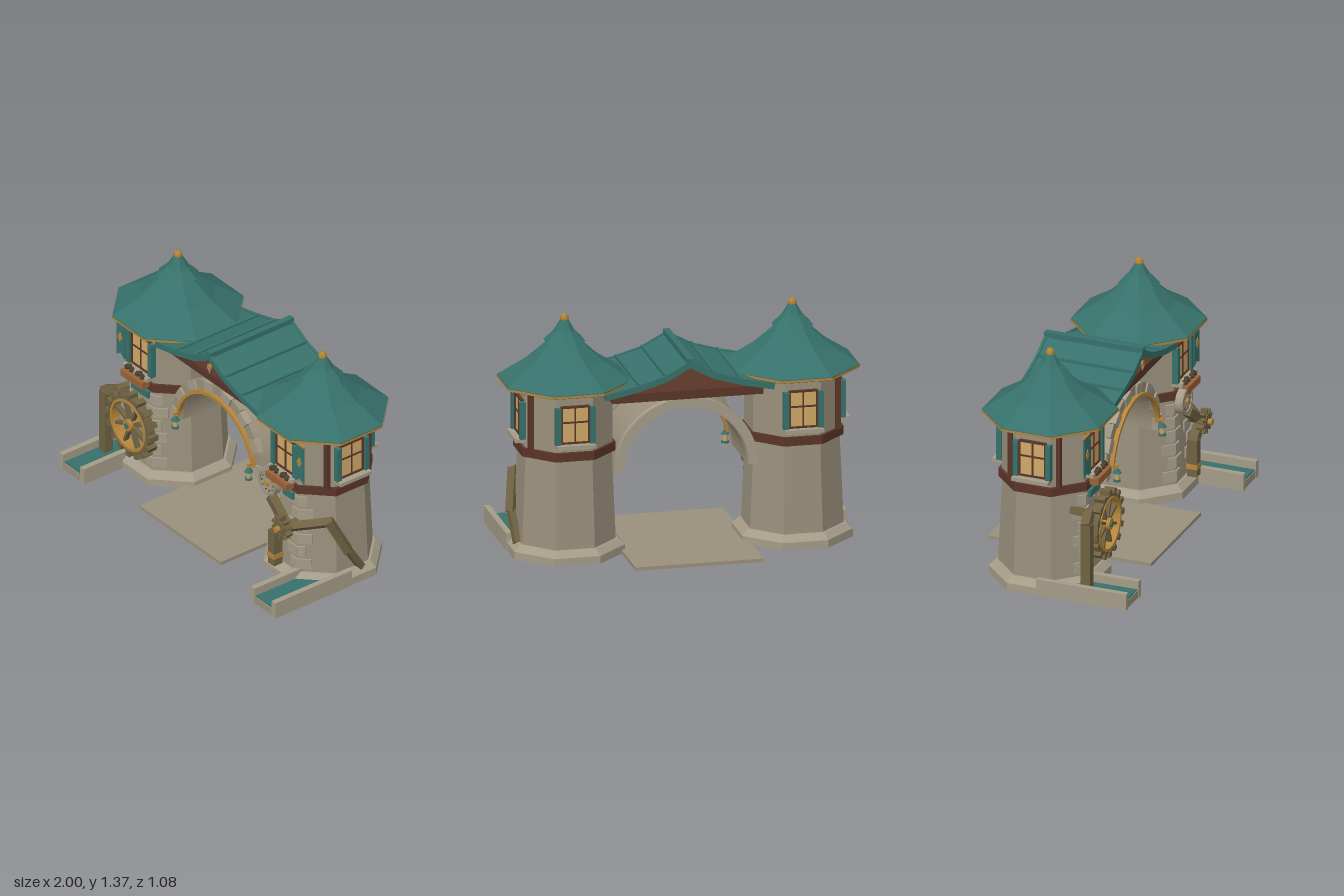
import * as THREE from 'three';

const mat = (name, color) => { const m = new THREE.MeshStandardMaterial({ color }); m.name = name; return m; };
const M = {
  stone: mat('stone', 0x9a907c), trim: mat('pale stone', 0xa59c88), teal: mat('teal', 0x37716b),
  brown: mat('dark timber', 0x5a3528), wood: mat('olive wood', 0x6f6242), gold: mat('gold', 0xb5853a),
  pane: mat('window glow', 0xcfa968), box: mat('planter', 0x9a6238), plant: mat('dark plant', 0x4a4030),
};
const C8 = Math.cos(Math.PI / 8), TZ = -0.05;

function add(parent, name, geo, material, x = 0, y = 0, z = 0) {
  const m = new THREE.Mesh(geo, material);
  m.name = name; m.position.set(x, y, z);
  parent.add(m);
  return m;
}
function group(parent, name, x = 0, y = 0, z = 0) {
  const g = new THREE.Group();
  g.name = name; g.position.set(x, y, z);
  parent.add(g);
  return g;
}
const flat = (g) => { const n = g.toNonIndexed(); n.computeVertexNormals(); return n; };
const box = (p, name, m, w, h, d, x, y, z) => add(p, name, new THREE.BoxGeometry(w, h, d), m, x, y, z);

// Octagonal ring stage between two heights; sizes are to the flat sides
function octagon(p, name, m, a0, a1, y0, y1, open = false) {
  const g = new THREE.CylinderGeometry(a1 / C8, a0 / C8, y1 - y0, 8, 1, open).rotateY(Math.PI / 8);
  return add(p, name, flat(g), m, 0, (y0 + y1) / 2, 0);
}
// Octagonal lathe, profile of [distance to flat side, height]
function octLathe(p, name, m, pts) {
  const g = new THREE.LatheGeometry(pts.map(([a, y]) => new THREE.Vector2(a / C8, y)), 8, Math.PI / 8);
  return add(p, name, flat(g), m);
}
// Square beam from point a to point b
function beam(p, name, m, a, b, w, d = w) {
  const A = new THREE.Vector3(...a), B = new THREE.Vector3(...b), dir = B.clone().sub(A);
  const mesh = add(p, name, new THREE.BoxGeometry(w, dir.length(), d), m);
  mesh.position.copy(A).add(B).multiplyScalar(0.5);
  mesh.quaternion.setFromUnitVectors(new THREE.Vector3(0, 1, 0), dir.normalize());
  return mesh;
}
// Disc or drum facing the front
const drum = (p, name, m, r, d, x, y, z, n = 20) =>
  add(p, name, new THREE.CylinderGeometry(r, r, d, n).rotateX(Math.PI / 2), m, x, y, z);
// Flat ring sector, extruded along z
function sector(r0, r1, a0, a1, depth, seg = 24) {
  const s = new THREE.Shape();
  s.absarc(0, 0, r1, a0, a1, false);
  s.absarc(0, 0, r0, a1, a0, true);
  return new THREE.ExtrudeGeometry(s, { depth, bevelEnabled: false, curveSegments: seg });
}
function fullRing(r0, r1, depth) {
  const s = new THREE.Shape().absarc(0, 0, r1, 0, Math.PI * 2, false);
  s.holes.push(new THREE.Path().absarc(0, 0, r0, 0, Math.PI * 2, true));
  return new THREE.ExtrudeGeometry(s, { depth, bevelEnabled: false, curveSegments: 16 });
}

// Window set on one flat of the tower
function windowSet(tower, angle, planter) {
  const g = group(tower, 'window');
  g.rotation.y = angle;
  box(g, 'windowPane', M.pane, 0.15, 0.2, 0.02, 0, 0.8, 0.25);
  for (const s of [-1, 1]) {
    box(g, 'windowJamb', M.brown, 0.012, 0.21, 0.03, s * 0.078, 0.8, 0.252);
    box(g, 'shutter', M.teal, 0.03, 0.215, 0.035, s * 0.098, 0.795, 0.262);
    box(g, 'windowRail', M.brown, 0.16, 0.012, 0.03, 0, 0.8 + s * 0.104, 0.252);
  }
  box(g, 'mullion', M.brown, 0.01, 0.2, 0.012, 0, 0.8, 0.258);
  box(g, 'transom', M.brown, 0.15, 0.01, 0.012, 0, 0.815, 0.258);
  box(g, 'sill', M.trim, 0.22, 0.022, 0.065, 0, 0.68, 0.272);
  if (!planter) return;
  box(g, 'planter', M.box, 0.19, 0.042, 0.055, 0, 0.645, 0.302);
  for (const s of [-1, 1]) for (const k of [-1, 0, 1])
    add(g, 'plant', flat(new THREE.IcosahedronGeometry(0.018, 0)), M.plant, s * 0.047 + k * 0.02, 0.7 - Math.abs(k) * 0.012, 0.305);
}

function tower(root, s) {
  const t = group(root, s < 0 ? 'rightTower' : 'leftTower', s * 0.65, 0, TZ);
  octagon(t, 'plinth', M.trim, 0.315, 0.315, 0, 0.045);
  octagon(t, 'plinthSlope', M.trim, 0.315, 0.28, 0.045, 0.08);
  octagon(t, 'shaft', M.stone, 0.267, 0.245, 0.08, 0.6);
  octagon(t, 'belt', M.brown, 0.266, 0.266, 0.59, 0.64);
  octagon(t, 'upperRoom', M.stone, 0.25, 0.25, 0.64, 0.98);
  octagon(t, 'eaveBeam', M.brown, 0.258, 0.258, 0.955, 0.98);
  for (const k of [-1, 1]) box(t, 'cornerPost', M.brown, 0.03, 0.33, 0.026, s * 0.225, 0.8, k * 0.145);
  windowSet(t, 0, true);
  windowSet(t, s * Math.PI / 2, false);
  windowSet(t, Math.PI, false);
  // Bell-shaped roof in two tiers
  octLathe(t, 'roof', M.teal, [[0.001, 0.98], [0.345, 0.98], [0.35, 1], [0.2, 1.105], [0.08, 1.22]]);
  octagon(t, 'roofRim', M.gold, 0.352, 0.352, 0.984, 0.998, true);
  octLathe(t, 'roofCap', M.teal, [[0.001, 1.205], [0.11, 1.215], [0.055, 1.275], [0.022, 1.335], [0.001, 1.337]]);
  add(t, 'finial', new THREE.LatheGeometry([[0.001, 1.315], [0.02, 1.32], [0.025, 1.345], [0.016, 1.365], [0.001, 1.371]]
    .map((q) => new THREE.Vector2(...q)), 12), M.gold);
  // Corner stones on the two front edges
  for (const k of [-1, 1]) for (let i = 0; i < 6; i++) {
    const y = 0.13 + i * 0.08, a = 0.267 - 0.022 * (y - 0.08) / 0.52, w = i % 2 ? 0.085 : 0.055;
    box(t, 'cornerStone', M.trim, w, 0.062, 0.012, k * (a * 0.414 - w / 2 + 0.004), y, a + 0.003);
    const side = group(t, 'cornerStoneReturn');
    side.rotation.y = k * Math.PI / 4;
    const w2 = i % 2 ? 0.05 : 0.085;
    box(side, 'cornerStone', M.trim, w2, 0.062, 0.012, -k * (a * 0.414 - w2 / 2 + 0.004), y, a + 0.003);
  }
  // Hanging banner with gold badge
  const b = new THREE.Shape([[-0.036, 0.945], [-0.036, 0.7], [0, 0.725], [0.036, 0.7], [0.036, 0.945]].map((q) => new THREE.Vector2(...q)));
  add(t, 'banner', new THREE.ExtrudeGeometry(b, { depth: 0.008, bevelEnabled: false }), M.teal, s * 0.155, 0, 0.277);
  box(t, 'bannerRod', M.gold, 0.09, 0.01, 0.012, s * 0.155, 0.945, 0.281);
  const badge = drum(t, 'bannerBadge', M.gold, 0.02, 0.006, s * 0.155, 0.83, 0.287, 4);
  badge.scale.y = 1.7;
  box(t, 'plaque', M.teal, s < 0 ? 0.15 : 0.09, 0.042, 0.02, s < 0 ? 0 : 0.03, 0.553, 0.262);
  // Water trough
  const g = group(root, 'trough', s * 0.86, 0, 0.265);
  box(g, 'troughBase', M.stone, 0.22, 0.045, 0.53, 0, 0.0225, 0);
  box(g, 'water', M.teal, 0.15, 0.008, 0.52, 0, 0.049, 0);
  for (const k of [-1, 1]) box(g, 'troughWall', M.trim, 0.034, 0.1, 0.54, k * 0.094, 0.05, 0);
}

function bridge(root) {
  const g = group(root, 'bridge');
  box(g, 'pathSlab', M.stone, 0.73, 0.02, 0.98, -0.005, 0.01, -0.05);
  add(g, 'archVault', sector(0.35, 0.4, 0, Math.PI, 0.37), M.stone, 0, 0.48, -0.21);
  add(g, 'backArchRing', sector(0.355, 0.41, 0, Math.PI, 0.04), M.trim, 0, 0.48, -0.245);
  const n = 15, step = Math.PI / n;
  for (let i = 0; i < n; i++)
    add(g, 'archStone', sector(0.348, 0.41, i * step + 0.005, (i + 1) * step - 0.005, i % 2 ? 0.03 : 0.038, 4),
      i % 2 ? M.stone : M.trim, 0, 0.48, 0.15);
  add(g, 'goldArch', sector(0.334, 0.354, 0.18, Math.PI - 0.18, 0.025), M.gold, 0, 0.48, 0.18);
  // Lanterns at the ends of the gold arch
  for (const s of [-1, 1]) {
    const l = group(g, 'lantern', s * 0.33, 0, 0.22);
    box(l, 'lanternBracket', M.gold, 0.014, 0.014, 0.05, 0, 0.562, -0.015);
    add(l, 'lanternRod', new THREE.CylinderGeometry(0.005, 0.005, 0.04, 6), M.gold, 0, 0.548, 0);
    add(l, 'lanternCap', new THREE.CylinderGeometry(0.008, 0.026, 0.025, 8), M.teal, 0, 0.53, 0);
    add(l, 'lanternGlass', new THREE.CylinderGeometry(0.017, 0.014, 0.04, 8), M.pane, 0, 0.498, 0);
    add(l, 'lanternBase', new THREE.CylinderGeometry(0.022, 0.022, 0.012, 8), M.teal, 0, 0.473, 0);
  }
  box(g, 'ceilingBeam', M.brown, 0.86, 0.05, 0.46, 0, 0.92, -0.05);
  // Curved gable roof
  const side = [[0, 1.125], [0.14, 1.05], [0.3, 1.003], [0.48, 0.965]];
  const pt = ([x, y], dy, k) => new THREE.Vector2(k * x, y + dy);
  const outline = [...side.map((q) => pt(q, 0, 1)), ...side.slice().reverse().map((q) => pt(q, -0.03, 1)),
    ...side.slice(1).map((q) => pt(q, -0.03, -1)), ...side.slice(1).reverse().map((q) => pt(q, 0, -1))];
  add(g, 'gableRoof', new THREE.ExtrudeGeometry(new THREE.Shape(outline), { depth: 0.57, bevelEnabled: false }), M.teal, 0, 0, -0.335);
  box(g, 'ridge', M.teal, 0.036, 0.045, 0.59, 0, 1.125, -0.05);
  for (const s of [-1, 1]) {
    box(g, 'batten', M.teal, 0.014, 0.022, 0.58, s * 0.14, 1.053, -0.05);
    box(g, 'batten', M.teal, 0.014, 0.022, 0.58, s * 0.29, 1.008, -0.05);
    for (const z of [-0.337, 0.237]) for (let i = 0; i < 3; i++) {
      const [a, b] = [side[i], side[i + 1]];
      beam(g, 'bargeBoard', M.teal, [s * a[0], a[1] - 0.012, z], [s * b[0], b[1] - 0.012, z], 0.036, 0.016);
    }
  }
  // Small pendant below the ridge
  drum(g, 'pendant', M.gold, 0.018, 0.012, 0, 1.05, 0.238, 6);
  const tip = add(g, 'pendantTip', new THREE.ConeGeometry(0.012, 0.04, 6), M.trim, 0, 1.02, 0.238);
  tip.rotation.z = Math.PI;
}

function waterWheel(root) {
  const g = group(root, 'waterWheel', -0.645, 0.355, 0.255);
  add(g, 'wheelRim', fullRing(0.15, 0.178, 0.05), M.wood);
  add(g, 'wheelBand', fullRing(0.143, 0.158, 0.058), M.gold, 0, 0, -0.002);
  for (let i = 0; i < 16; i++) {
    const r = group(g, 'paddleArm'); r.rotation.z = i * Math.PI / 8;
    box(r, 'paddle', M.wood, 0.032, 0.036, 0.062, 0, 0.185, 0.025);
    if (i % 2) box(r, 'spoke', M.wood, 0.016, 0.15, 0.03, 0, 0.08, 0.025);
  }
  drum(g, 'axle', M.wood, 0.02, 0.08, 0, 0, -0.02);
  drum(g, 'hub', M.gold, 0.034, 0.07, 0, 0, 0.025);
  drum(g, 'hubCap', M.teal, 0.016, 0.012, 0, 0, 0.062);
  // Flume beside the wheel
  beam(root, 'flumePost', M.wood, [-0.89, 0.05, 0.27], [-0.89, 0.45, 0.27], 0.055);
  beam(root, 'flumeElbow', M.wood, [-0.91, 0.44, 0.27], [-0.81, 0.485, 0.25], 0.05);
  beam(root, 'flumeMount', M.wood, [-0.82, 0.48, 0.26], [-0.8, 0.48, 0.14], 0.04);
}

function machine(root) {
  const g = group(root, 'machine');
  // Round dial
  drum(g, 'dial', M.trim, 0.075, 0.04, 0.565, 0.585, 0.25, 24);
  add(g, 'dialRim', fullRing(0.062, 0.076, 0.01), M.stone, 0.565, 0.585, 0.268);
  for (let i = 0; i < 10; i++) {
    const a = i * Math.PI / 5;
    box(g, 'dialMark', M.plant, 0.008, 0.008, 0.006, 0.565 + 0.05 * Math.cos(a), 0.585 + 0.05 * Math.sin(a), 0.271);
  }
  drum(g, 'dialHub', M.gold, 0.015, 0.03, 0.565, 0.585, 0.27);
  // Cog wheel
  drum(g, 'cog', M.wood, 0.045, 0.05, 0.74, 0.395, 0.305, 12);
  for (let i = 0; i < 10; i++) {
    const r = group(g, 'cogArm', 0.74, 0.395, 0.305); r.rotation.z = i * Math.PI / 5;
    box(r, 'cogTooth', M.wood, 0.016, 0.035, 0.04, 0, 0.055, 0);
  }
  drum(g, 'cogHub', M.gold, 0.018, 0.09, 0.74, 0.395, 0.31);
  // Jointed arms and legs
  beam(g, 'upperArm', M.wood, [0.59, 0.51, 0.265], [0.74, 0.395, 0.275], 0.05);
  beam(g, 'lowerArm', M.wood, [0.74, 0.395, 0.28], [0.645, 0.3, 0.28], 0.05);
  beam(g, 'frontLeg', M.wood, [0.645, 0.32, 0.28], [0.645, 0.1, 0.28], 0.055, 0.06);
  box(g, 'legBand', M.gold, 0.062, 0.03, 0.068, 0.645, 0.16, 0.28);
  beam(g, 'sideArm', M.wood, [0.75, 0.39, 0.28], [0.905, 0.43, 0.1], 0.045);
  beam(g, 'sideLeg', M.wood, [0.905, 0.445, 0.11], [0.945, 0.22, 0], 0.046);
  beam(g, 'sideFoot', M.wood, [0.942, 0.24, 0.01], [0.93, 0.07, -0.1], 0.038);
  drum(g, 'axle', M.wood, 0.02, 0.12, 0.74, 0.395, 0.24);
}

export function createModel() {
  const root = new THREE.Group();
  root.name = 'twinTowerGate';
  for (const s of [-1, 1]) tower(root, s);
  bridge(root);
  waterWheel(root);
  machine(root);
  return root;
}
